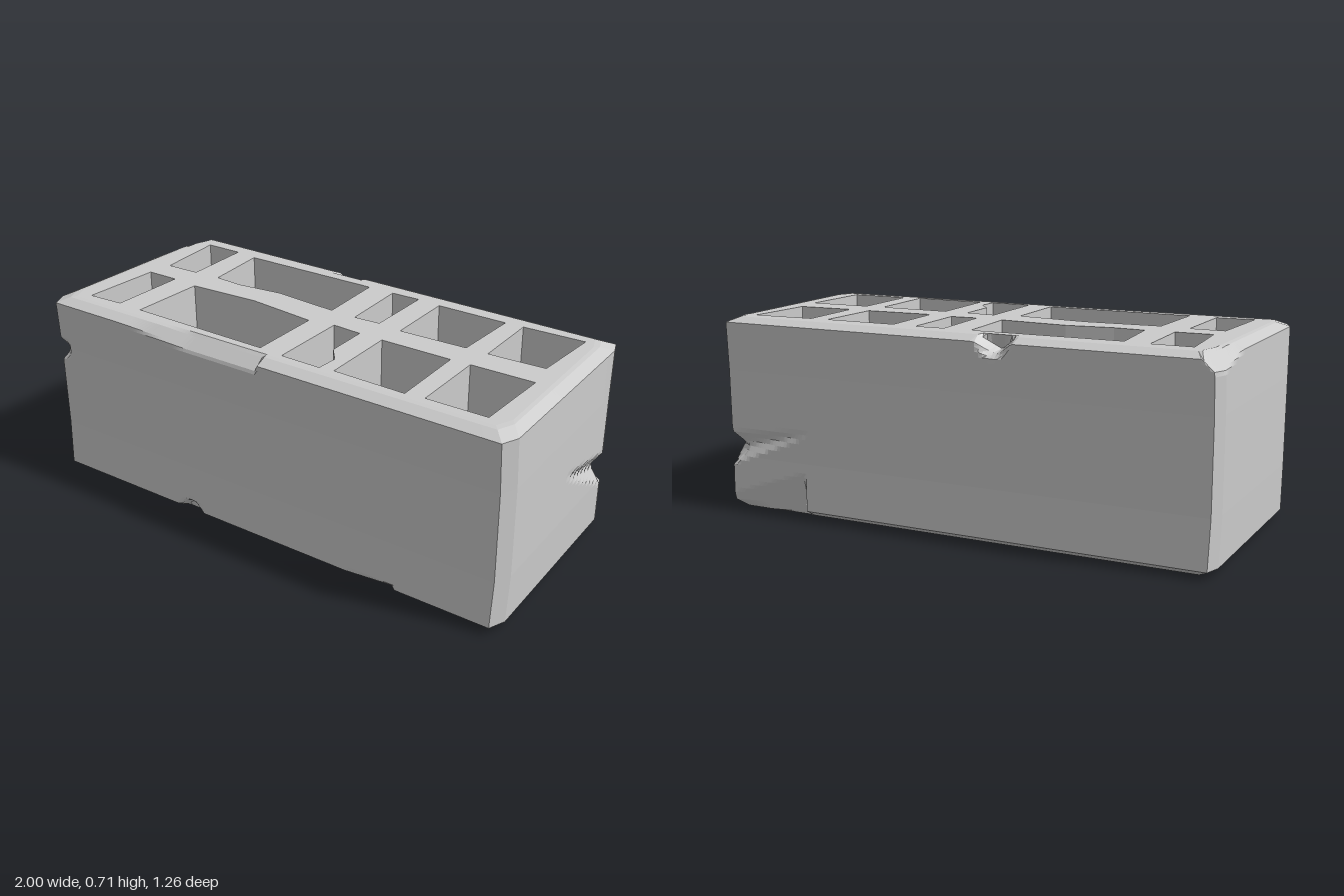
import * as THREE from 'three';

const V3 = (x, y, z) => new THREE.Vector3(x, y, z);
const material = new THREE.MeshStandardMaterial({ color: 0xcccccc, flatShading: true, side: THREE.DoubleSide });

// Brick's own axes in the ground plane (it stands turned about y): U along, W across
const U = V3(0.972, 0, -0.235), W = V3(0.235, 0, 0.972);
const place = ([u, w, y]) => V3(0, y, 0).addScaledVector(U, u).addScaledVector(W, w);

// Chamfered corners, clockwise from above: x, z, and the side signs used for insetting
const corners = [
  [0.77, -0.63, 1, -1], [0.80, -0.585, 1, -1], [1.0, 0.12, 1, 1], [0.99, 0.185, 1, 1],
  [-0.80, 0.627, -1, 1], [-0.84, 0.575, -1, 1], [-1.0, -0.14, -1, -1], [-0.995, -0.2, -1, -1],
];
const steps = [3, 60, 3, 130, 3, 60, 3, 130];

// Height, inset along U and inset along W: bevelled rims and slightly waisted long sides
const profile = [
  [0, 0.055, 0.058], [0.005, 0.04, 0.04], [0.028, 0.004, 0.004], [0.2, 0, 0.013],
  [0.52, 0, 0.01], [0.695, 0.002, 0], [0.713, 0.04, 0.04], [0.715, 0.055, 0.058],
];
const rows = [];
profile.forEach((row, k) => {
  const next = profile[k + 1];
  if (!next) return rows.push(row);
  const n = Math.max(1, Math.round((next[0] - row[0]) / 0.018));
  for (let i = 0; i < n; i++) rows.push(row.map((v, c) => THREE.MathUtils.lerp(v, next[c], i / n)));
});

// Notches and cracks: from, to, radius at both ends, push, strength at the start
const notches = [
  [[-0.175, -0.43, 0.71], [-0.175, -0.38, 0.715], 0.07, 0.07, V3(0.01, -0.05, 0.04), 1],
  [[-0.316, 0.41, 0], [-0.316, 0.4, 0], 0.065, 0.065, V3(-0.01, 0.05, -0.02), 1],
  [[-0.93, 0.39, 0.51], [-0.925, 0.41, 0.51], 0.045, 0.045, V3(0.025, 0, -0.03), 1],
  [[0.93, -0.05, 0.365], [0.91, -0.42, 0.23], 0.01, 0.065, V3(-0.045, 0, 0.015), 0],
  [[0.56, -0.42, 0.31], [0.9, -0.43, 0.23], 0.01, 0.06, V3(0, 0, 0.04), 0],
];

// Broken-off chips: a plane through three points and the stretch along U it applies to
const chips = [
  [[-0.93, -0.43, 0.645], [-0.855, -0.43, 0.715], [-0.94, -0.1, 0.715], -2, -0.5],
  [[-0.61, 0.415, 0.7], [-0.306, 0.415, 0.668], [-0.306, 0.36, 0.715], -0.62, -0.306],
  [[-0.306, 0.415, 0.668], [0, 0.415, 0.668], [-0.1, 0.36, 0.715], -0.306, 0.005],
  [[0.24, 0.415, 0.02], [0.55, 0.415, 0.048], [0.55, 0.355, 0], 0.22, 0.56],
  [[0.93, -0.43, 0.06], [0.585, -0.43, 0.2], [0.585, -0.37, 0], 0.585, 2],
].map(([a, b, c, from, to]) => {
  const plane = new THREE.Plane().setFromCoplanarPoints(place(a), place(b), place(c));
  if (plane.distanceToPoint(V3(0, 0.36, 0)) > 0) plane.negate();
  return { plane, from, to };
});

function wear(p) {
  const start = p.clone(), near = V3(0, 0, 0);
  for (const [a, b, r0, r1, push, s] of notches) {
    const line = new THREE.Line3(place(a), place(b));
    const t = line.closestPointToPointParameter(start, true);
    const fade = Math.max(0, 1 - line.at(t, near).distanceTo(start) / (r0 + (r1 - r0) * t));
    p.addScaledVector(push, fade * (s + (1 - s) * t));
  }
  const along = start.dot(U);
  for (const { plane, from, to } of chips) {
    const over = plane.distanceToPoint(p);
    if (over > 0 && along >= from && along <= to) p.addScaledVector(plane.normal, -over);
  }
  return p;
}

// One closed outline at a given height; the loops that meet the flat faces stay unworn
function ring([y, du, dw], j) {
  const pts = corners.map(([x, z, su, sw]) =>
    V3(x, y, z).addScaledVector(U, -su * du).addScaledVector(W, -sw * dw));
  const loop = pts.flatMap((p, i) => Array.from({ length: steps[i] }, (_, k) =>
    p.clone().lerp(pts[(i + 1) % pts.length], k / steps[i])));
  return j === 0 || j === rows.length - 1 ? loop : loop.map(wear);
}

function meshFrom(name, points, index) {
  const indexed = new THREE.BufferGeometry().setFromPoints(points);
  indexed.setIndex(index);
  const geometry = indexed.toNonIndexed();
  geometry.computeVertexNormals();
  const mesh = new THREE.Mesh(geometry, material);
  mesh.name = name;
  return mesh;
}

// Wall through stacked loops; inward turns the faces toward the loop's middle
function wall(name, loops, inward) {
  const n = loops[0].length, index = [];
  for (let j = 0; j < loops.length - 1; j++) {
    for (let i = 0; i < n; i++) {
      const a = j * n + i, b = j * n + (i + 1) % n, c = a + n, d = b + n;
      if (inward) index.push(a, b, c, b, d, c);
      else index.push(a, c, b, b, c, d);
    }
  }
  return meshFrom(name, loops.flat(), index);
}

// Pierced face between the outer loop and the hole loops
function cap(name, outer, holes, up) {
  const flat = (loop) => loop.map((p) => new THREE.Vector2(p.x, -p.z));
  const points = [outer, ...holes].flat();
  const index = THREE.ShapeUtils.triangulateShape(flat(outer), holes.map(flat)).flatMap(([a, b, c]) => {
    const ab = points[b].clone().sub(points[a]), ac = points[c].clone().sub(points[a]);
    return (ab.cross(ac).y > 0) === up ? [a, b, c] : [a, c, b];
  });
  return meshFrom(name, points, index);
}

// Two rows of five openings: x, z corners each and the scale at the bottom
const openings = [
  [[-0.88, -0.13, -0.74, -0.165, -0.67, 0.09, -0.795, 0.125], 1],
  [[-0.65, -0.175, -0.125, -0.31, -0.05, -0.06, -0.3, -0.02, -0.46, 0.04, -0.57, 0.06], 0.95],
  [[-0.025, -0.335, 0.08, -0.365, 0.145, -0.11, 0.05, -0.08], 1],
  [[0.17, -0.38, 0.43, -0.445, 0.485, -0.19, 0.24, -0.12], 0.95],
  [[0.495, -0.465, 0.715, -0.53, 0.765, -0.27, 0.565, -0.21], 1],
  [[-0.785, 0.22, -0.665, 0.19, -0.6, 0.475, -0.73, 0.515], 1],
  [[-0.56, 0.175, -0.3, 0.095, -0.035, 0.06, 0.035, 0.33, -0.5, 0.455], 0.95],
  [[0.055, 0.02, 0.165, 0, 0.205, 0.155, 0.265, 0.2, 0.28, 0.28, 0.13, 0.315], 0.95],
  [[0.255, -0.02, 0.515, -0.085, 0.595, 0.2, 0.33, 0.26], 0.95],
  [[0.585, -0.105, 0.81, -0.165, 0.875, 0.12, 0.66, 0.175], 1],
];

function openingLoop([c, bottomScale], y, scale = bottomScale) {
  const pts = Array.from({ length: c.length / 2 }, (_, i) => V3(c[2 * i], y, c[2 * i + 1]));
  const mid = V3(0, 0, 0);
  pts.forEach((p) => mid.addScaledVector(p, 1 / pts.length));
  return pts.map((p) => p.lerp(mid, 1 - scale));
}

export function createModel() {
  const group = new THREE.Group();
  group.name = 'hollowBrick';
  const loops = rows.map(ring);
  const lower = openings.map((o) => openingLoop(o, 0));
  const upper = openings.map((o) => openingLoop(o, 0.715, 1));
  group.add(
    wall('outerWall', loops, false),
    cap('topFace', loops[loops.length - 1], upper, true),
    cap('bottomFace', loops[0], lower, false),
  );
  openings.forEach((_, i) => group.add(wall(`cellWall${i + 1}`, [lower[i], upper[i]], true)));
  return group;
}
